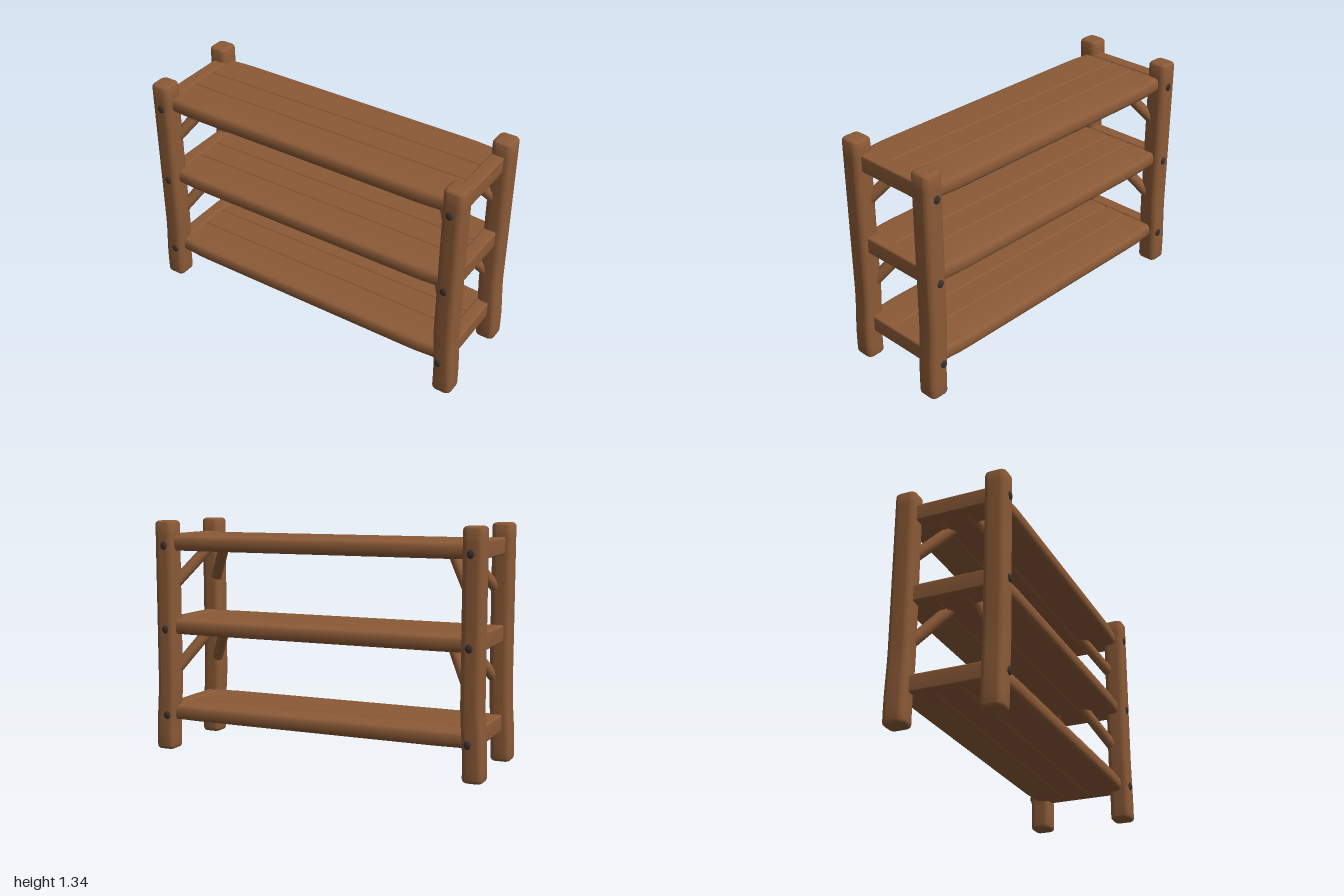
import * as THREE from 'three';
import { mergeVertices, toCreasedNormals } from 'three/addons/utils/BufferGeometryUtils.js';

const wood = new THREE.MeshStandardMaterial({ color: 0x8b5a37 });
wood.name = 'brown wood';
const iron = new THREE.MeshStandardMaterial({ color: 0x3a2f2a });
iron.name = 'dark iron';

const HEIGHT = 1.343;
const SHELVES = [0.22, 0.727, 1.213];

// Rectangle with rounded corners, centred on the origin
function roundedRect(w, h, r) {
  const s = new THREE.Shape();
  const x = w / 2, y = h / 2, q = Math.PI / 2;
  s.absarc(x - r, y - r, r, 0, q);
  s.absarc(-x + r, y - r, r, q, 2 * q);
  s.absarc(-x + r, -y + r, r, 2 * q, 3 * q);
  s.absarc(x - r, -y + r, r, 3 * q, 4 * q);
  s.closePath();
  return s;
}

// Moves every vertex by a rule
function warp(geometry, rule) {
  const p = geometry.attributes.position;
  const v = new THREE.Vector3();
  for (let i = 0; i < p.count; i++) {
    rule(v.fromBufferAttribute(p, i));
    p.setXYZ(i, v.x, v.y, v.z);
  }
  return geometry;
}

function soften(geometry, angle = 0.7) {
  geometry.deleteAttribute('normal');
  geometry.deleteAttribute('uv');
  geometry.clearGroups();
  return toCreasedNormals(mergeVertices(geometry, 1e-4), angle);
}

function add(parent, name, geometry, material) {
  const mesh = new THREE.Mesh(geometry, material);
  mesh.name = name;
  parent.add(mesh);
  return mesh;
}

// Upright post whose foot kicks outward along x
function postGeometry(sx) {
  const b = 0.022;
  const g = new THREE.ExtrudeGeometry(roundedRect(0.117 - 2 * b, 0.125 - 2 * b, 0.012), {
    depth: HEIGHT - 2 * b, steps: 20, curveSegments: 4,
    bevelEnabled: true, bevelSize: b, bevelThickness: b, bevelSegments: 4,
  });
  g.translate(0, 0, b).rotateX(-Math.PI / 2);
  warp(g, (v) => {
    v.x += sx * 0.015 * (1 - THREE.MathUtils.smoothstep(v.y, 0.1, 0.42));
  });
  return soften(g);
}

// Shelf of three boards: rounded long edges with two shallow grooves above and below
function shelfGeometry() {
  const front = -0.291, back = 0.3, h = 0.043, r = 0.03;
  const grooves = [-0.07, 0.09], gw = 0.008, gd = 0.009;
  const s = new THREE.Shape();
  s.moveTo(front + r, -h);
  for (const g of grooves) {
    s.lineTo(g - gw, -h);
    s.lineTo(g, -h + gd);
    s.lineTo(g + gw, -h);
  }
  s.lineTo(back - r, -h);
  s.quadraticCurveTo(back, -h, back, 0);
  s.quadraticCurveTo(back, h, back - r, h);
  for (const g of [...grooves].reverse()) {
    s.lineTo(g + gw, h);
    s.lineTo(g, h - gd);
    s.lineTo(g - gw, h);
  }
  s.lineTo(front + r, h);
  s.quadraticCurveTo(front, h, front, 0);
  s.quadraticCurveTo(front, -h, front + r, -h);
  const g = new THREE.ExtrudeGeometry(s, { depth: 1.77, steps: 28, curveSegments: 6, bevelEnabled: false });
  g.translate(0, 0, -0.885).rotateY(Math.PI / 2);
  warp(g, (v) => {
    v.z *= 1 - 0.035 * THREE.MathUtils.smoothstep(Math.abs(v.x), 0.72, 0.88);
  });
  return soften(g, 0.6);
}

// End rail running between the front and back posts
function railGeometry() {
  const g = new THREE.ExtrudeGeometry(roundedRect(0.076, 0.096, 0.008), {
    depth: 0.5, curveSegments: 3, bevelEnabled: false,
  });
  return soften(g.translate(0, 0, -0.25));
}

export function createModel() {
  const model = new THREE.Group();
  model.name = 'shelfRack';

  const shelf = shelfGeometry();
  const rail = railGeometry();
  const brace = new THREE.CylinderGeometry(0.033, 0.033, 1, 14);
  const shaft = new THREE.CylinderGeometry(0.018, 0.018, 0.15, 10).rotateX(Math.PI / 2);
  const head = new THREE.SphereGeometry(0.021, 12, 8).scale(1, 1.15, 0.6);

  // Shelves with an end rail on each side
  for (const y of SHELVES) {
    add(model, 'shelf', shelf, wood).position.y = y;
    for (const sx of [-1, 1]) {
      add(model, 'endRail', rail, wood).position.set(sx * 0.912, y + 0.003, 0);
    }
  }

  for (const sx of [-1, 1]) {
    const post = postGeometry(sx);
    for (const sz of [-1, 1]) {
      // Corner post
      add(model, 'post', post, wood).position.set(sx * 0.926, 0, sz * 0.2625);

      // Diagonal braces under the two upper shelves
      for (const [i, drop] of [[1, 0.245], [2, 0.225]]) {
        const top = SHELVES[i] - 0.02;
        const a = new THREE.Vector3(sx * 0.905, top - drop, sz * 0.24);
        const b = new THREE.Vector3(sx * 0.75, top, sz * 0.085);
        const d = b.clone().sub(a);
        const m = add(model, 'cornerBrace', brace, wood);
        m.position.copy(a).addScaledVector(d, 0.5);
        m.scale.y = d.length();
        m.quaternion.setFromUnitVectors(new THREE.Vector3(0, 1, 0), d.normalize());
      }

      // Bolts through the post at each shelf
      for (const y of SHELVES) {
        const bolt = new THREE.Group();
        bolt.name = 'bolt';
        add(bolt, 'boltShaft', shaft, iron).position.z = -sz * 0.012;
        add(bolt, 'boltHead', head, iron).position.z = sz * 0.061;
        bolt.position.set(sx * 0.918, y - 0.012, sz * 0.2625);
        model.add(bolt);
      }
    }
  }
  return model;
}
